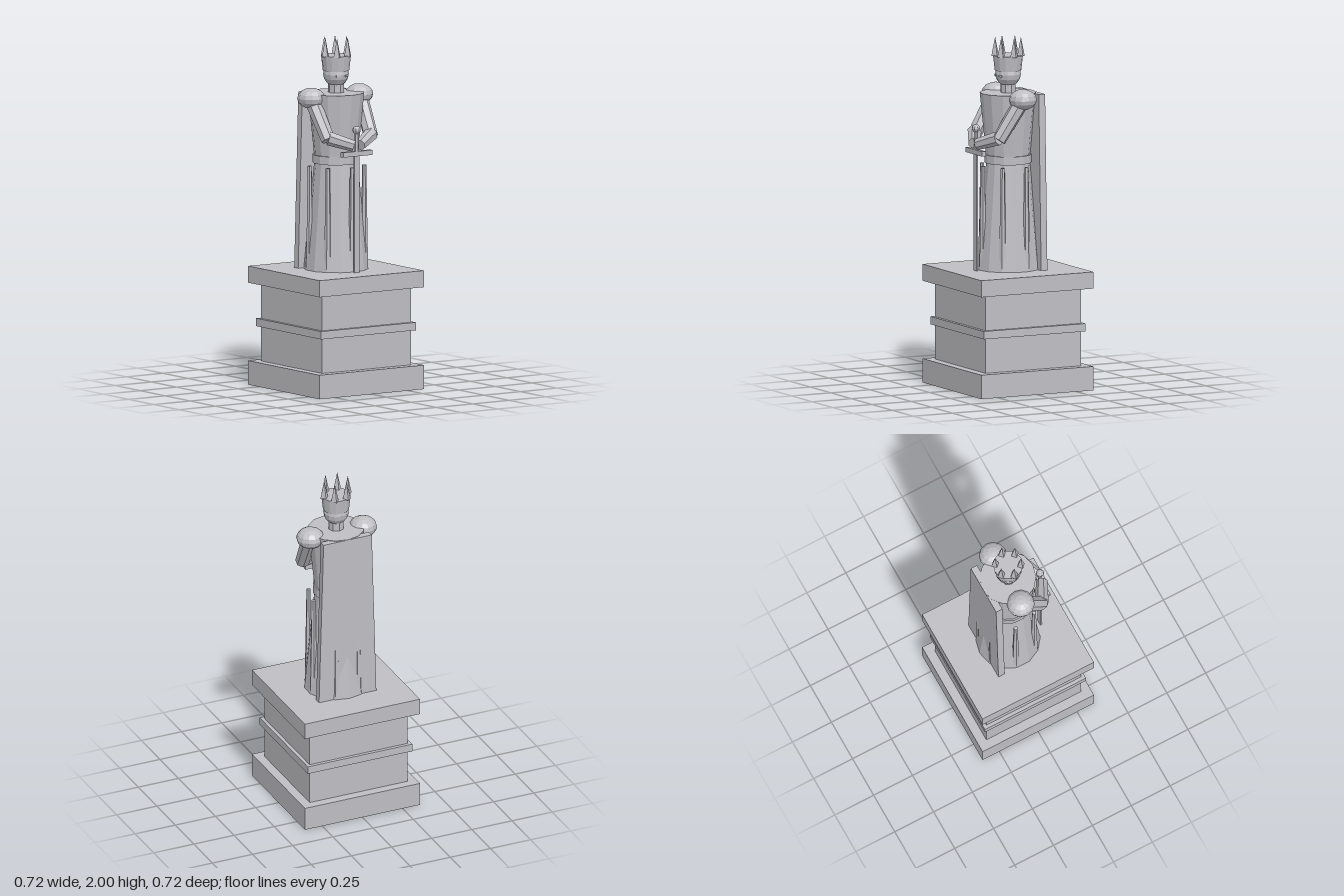
import * as THREE from 'three';

export function createModel() {
  const model = new THREE.Group();
  model.name = 'kingStatue';
  const stone = new THREE.MeshStandardMaterial({ color: 0xbebec3 });
  stone.name = 'light grey stone';

  // Adds a mesh with faceted normals
  function add(name, geometry, x = 0, y = 0, z = 0) {
    const g = geometry.index ? geometry.toNonIndexed() : geometry;
    g.computeVertexNormals();
    const mesh = new THREE.Mesh(g, stone);
    mesh.name = name;
    mesh.position.set(x, y, z);
    model.add(mesh);
    return mesh;
  }
  // Box and round tapered part given by their bottom and top heights
  const block = (name, w, y0, y1, d, x = 0, z = 0) =>
    add(name, new THREE.BoxGeometry(w, y1 - y0, d), x, (y0 + y1) / 2, z);
  const round = (name, rBottom, rTop, y0, y1, sides, x = 0, z = 0) =>
    add(name, new THREE.CylinderGeometry(rTop, rBottom, y1 - y0, sides), x, (y0 + y1) / 2, z);
  // Tapered limb between two points
  function limb(name, from, to, r0, r1) {
    const a = new THREE.Vector3(...from), b = new THREE.Vector3(...to);
    const dir = b.clone().sub(a);
    const mid = a.clone().add(b).multiplyScalar(0.5);
    const mesh = add(name, new THREE.CylinderGeometry(r1, r0, dir.length(), 7), mid.x, mid.y, mid.z);
    mesh.quaternion.setFromUnitVectors(new THREE.Vector3(0, 1, 0), dir.normalize());
  }

  // Pedestal
  block('pedestalBase', 0.716, 0, 0.137, 0.716);
  block('pedestalBody', 0.61, 0.137, 0.585, 0.61);
  block('pedestalBand', 0.65, 0.335, 0.38, 0.65);
  block('pedestalCap', 0.716, 0.582, 0.677, 0.716);

  // Robe, belt and torso
  round('robe', 0.183, 0.122, 0.677, 1.3, 14);
  round('belt', 0.134, 0.134, 1.283, 1.33, 14);
  round('torso', 0.12, 0.16, 1.28, 1.683, 14);

  // Upright folds around the robe
  for (let i = 0; i < 7; i++) {
    const a = (i / 7) * Math.PI * 2;
    const fold = round('robeFold', 0.022, 0.012, 0.677, 1.27, 6, Math.sin(a) * 0.16, Math.cos(a) * 0.16);
    fold.rotation.y = a;
  }

  // Cape, widening toward the ground
  const capeShape = new THREE.Shape([[-0.178, 0.677], [0.178, 0.677], [0.15, 1.68], [-0.15, 1.68]]
    .map(([x, y]) => new THREE.Vector2(x, y)));
  add('cape', new THREE.ExtrudeGeometry(capeShape, { depth: 0.04, bevelEnabled: false }), 0, 0, -0.158);

  // Shoulders and arms meeting at the sword
  for (const s of [1, -1]) {
    const pad = add('shoulder', new THREE.SphereGeometry(0.08, 12, 8), s * 0.164, 1.66, -0.008);
    pad.scale.y = 0.74;
    limb('upperArm', [s * 0.164, 1.65, 0], [s * 0.146, 1.435, 0.136], 0.045, 0.041);
    limb('forearm', [s * 0.146, 1.448, 0.138], [s * 0.022, 1.402, 0.207], 0.041, 0.033);
  }

  // Head and neck
  round('neck', 0.045, 0.045, 1.67, 1.75, 8);
  add('head', new THREE.SphereGeometry(0.073, 12, 8), 0, 1.788, 0);
  for (const s of [1, -1]) {
    const eye = add('eye', new THREE.BoxGeometry(0.026, 0.011, 0.009), s * 0.028, 1.782, 0.065);
    eye.rotation.y = s * 0.35;
  }

  // Crown with six points
  round('crownBand', 0.075, 0.085, 1.808, 1.895, 14);
  for (let i = 0; i < 6; i++) {
    const a = Math.PI / 2 + (i / 6) * Math.PI * 2;
    add('crownPoint', new THREE.ConeGeometry(0.024, 0.11, 4), Math.sin(a) * 0.073, 1.945, Math.cos(a) * 0.073);
  }

  // Sword standing point down
  block('swordBlade', 0.034, 0.677, 1.36, 0.012, 0, 0.205);
  block('crossguard', 0.2, 1.342, 1.37, 0.026, 0, 0.205);
  round('swordGrip', 0.012, 0.012, 1.36, 1.48, 6, 0, 0.205);
  add('pommel', new THREE.SphereGeometry(0.024, 8, 6), 0, 1.49, 0.205);

  return model;
}
